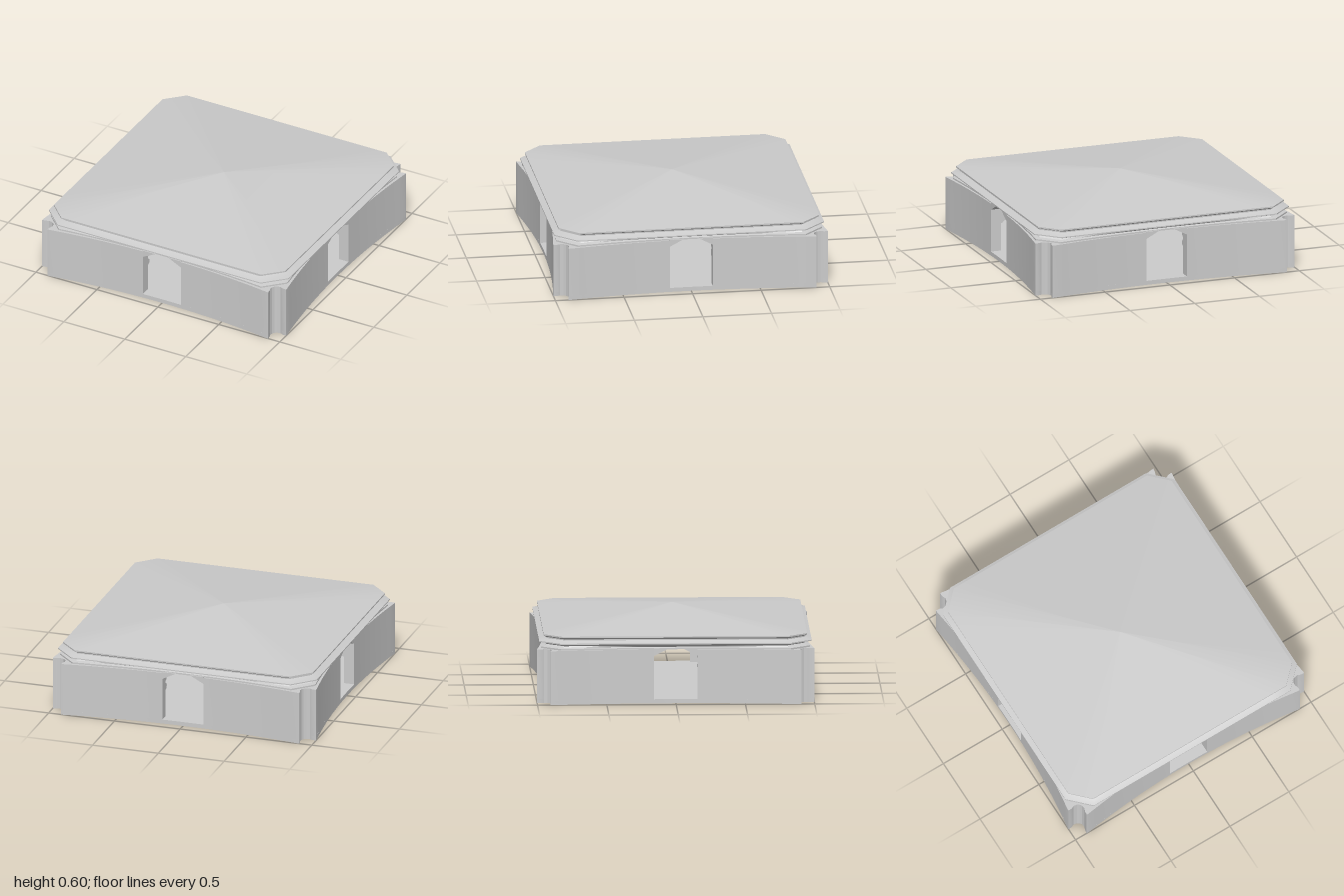
import * as THREE from 'three';
import { toCreasedNormals } from 'three/addons/utils/BufferGeometryUtils.js';

const DOOR = 0.157, TIP = 0.89, INNER = 0.86, SAG = 0.065, WALL_TOP = 0.392, FLOOR = 0.03;
const material = new THREE.MeshStandardMaterial({ color: 0xcccccc });

// Walls bow gently inward between the corners
const bow = t => 1 - SAG * (1 - (t / TIP) ** 2);

function mesh(name, geometry, crease = 0.4) {
  const m = new THREE.Mesh(toCreasedNormals(geometry, crease), material);
  m.name = name;
  return m;
}

// Outer plan of one corner, from the front doorway round to the side doorway
function cornerPlan(start) {
  const half = [];
  for (let i = 0; i <= 10; i++) {
    const x = start + (TIP - start) * i / 10;
    half.push([x, bow(x)]);
  }
  half.push([0.905, 1], [0.902, 0.97], [0.893, 0.95], [0.897, 0.925]);
  const other = half.map(([x, z]) => [z, x]).reverse();
  return [...half, [0.908, 0.908], ...other];
}

// Extrudes a plan (x, z) upward from y0 to y1
function extrudePlan(points, y0, y1) {
  const shape = new THREE.Shape(points.map(p => new THREE.Vector2(...p)));
  return new THREE.ExtrudeGeometry(shape, { depth: y1 - y0, bevelEnabled: false })
    .rotateX(Math.PI / 2).translate(0, y1, 0);
}

// Ring with chamfered corners: half width h, flat half length c, inward sag
function ring([h, y, cut, sag]) {
  const c = h - cut, points = [], n = 12;
  for (let side = 0; side < 4; side++) {
    for (let i = 0; i <= n; i++) {
      const u = -1 + 2 * i / n;
      let x = h - sag * (1 - u * u), z = u * c;
      for (let k = 0; k < side; k++) [x, z] = [-z, x];
      points.push([x, y, z]);
    }
  }
  return points;
}

function loft(profile) {
  const rings = profile.map(ring), n = rings[0].length, index = [];
  for (let j = 0; j < rings.length - 1; j++) {
    for (let i = 0; i < n; i++) {
      const a = j * n + i, b = j * n + (i + 1) % n;
      index.push(a, a + n, b, b, a + n, b + n);
    }
  }
  const g = new THREE.BufferGeometry();
  g.setAttribute('position', new THREE.Float32BufferAttribute(rings.flat(2), 3));
  g.setIndex(index);
  return g;
}

export function createModel() {
  const model = new THREE.Group();
  model.name = 'pavilion';

  // Floor slab sharing the wall outline on all four sides
  const outline = [];
  for (let k = 0; k < 4; k++) {
    for (const p of cornerPlan(0).slice(0, -1)) {
      let [x, z] = p;
      for (let r = 0; r < k; r++) [x, z] = [z, -x];
      outline.push([x, z]);
    }
  }
  model.add(mesh('floorSlab', extrudePlan(outline, 0, FLOOR)));

  const wallGeometry = extrudePlan(
    [...cornerPlan(DOOR), [INNER, DOOR], [INNER, INNER], [DOOR, INNER]], FLOOR, WALL_TOP);

  for (let k = 0; k < 4; k++) {
    const side = new THREE.Group();
    side.name = 'wallSide';
    side.rotation.y = k * Math.PI / 2;
    side.add(mesh('cornerWall', wallGeometry));

    for (const s of [-1, 1]) {
      // Sloped shoulder of the doorway head
      const shoulder = new THREE.Shape([
        new THREE.Vector2(s * DOOR, 0.345),
        new THREE.Vector2(s * DOOR, 0.398),
        new THREE.Vector2(s * 0.055, 0.398),
      ]);
      const depth = bow(DOOR) - INNER;
      side.add(mesh('doorShoulder', new THREE.ExtrudeGeometry(shoulder, { depth, bevelEnabled: false })
        .translate(0, 0, INNER)));

      // Rounded rails along the inside of the wall
      for (const y of [0.26, 0.33]) {
        const rail = new THREE.CylinderGeometry(0.025, 0.025, INNER - DOOR, 12).rotateZ(Math.PI / 2);
        rail.translate(s * (INNER + DOOR) / 2, y, INNER);
        side.add(mesh('innerRail', rail, 0.8));
      }
    }
    model.add(side);
  }

  // Moulded cornice: plate, neck and projecting lip
  model.add(mesh('cornice', loft([
    [0.001, 0.392, 0, 0], [0.97, 0.392, 0.14, 0.045], [0.97, 0.403, 0.14, 0.045],
    [0.94, 0.408, 0.13, 0.03], [0.93, 0.418, 0.125, 0.01], [0.94, 0.43, 0.13, 0],
    [0.983, 0.436, 0.15, 0], [0.983, 0.444, 0.15, 0], [0.95, 0.452, 0.14, 0],
    [0.93, 0.46, 0.13, 0], [0.93, 0.475, 0.13, 0], [0.001, 0.475, 0, 0],
  ])));

  // Low pyramid roof with a thin eave
  model.add(mesh('roof', loft([
    [0.001, 0.468, 0, 0], [0.93, 0.468, 0.13, 0], [0.95, 0.48, 0.13, 0],
    [0.95, 0.49, 0.13, 0], [0.001, 0.6, 0, 0],
  ]), 0.1));

  return model;
}
